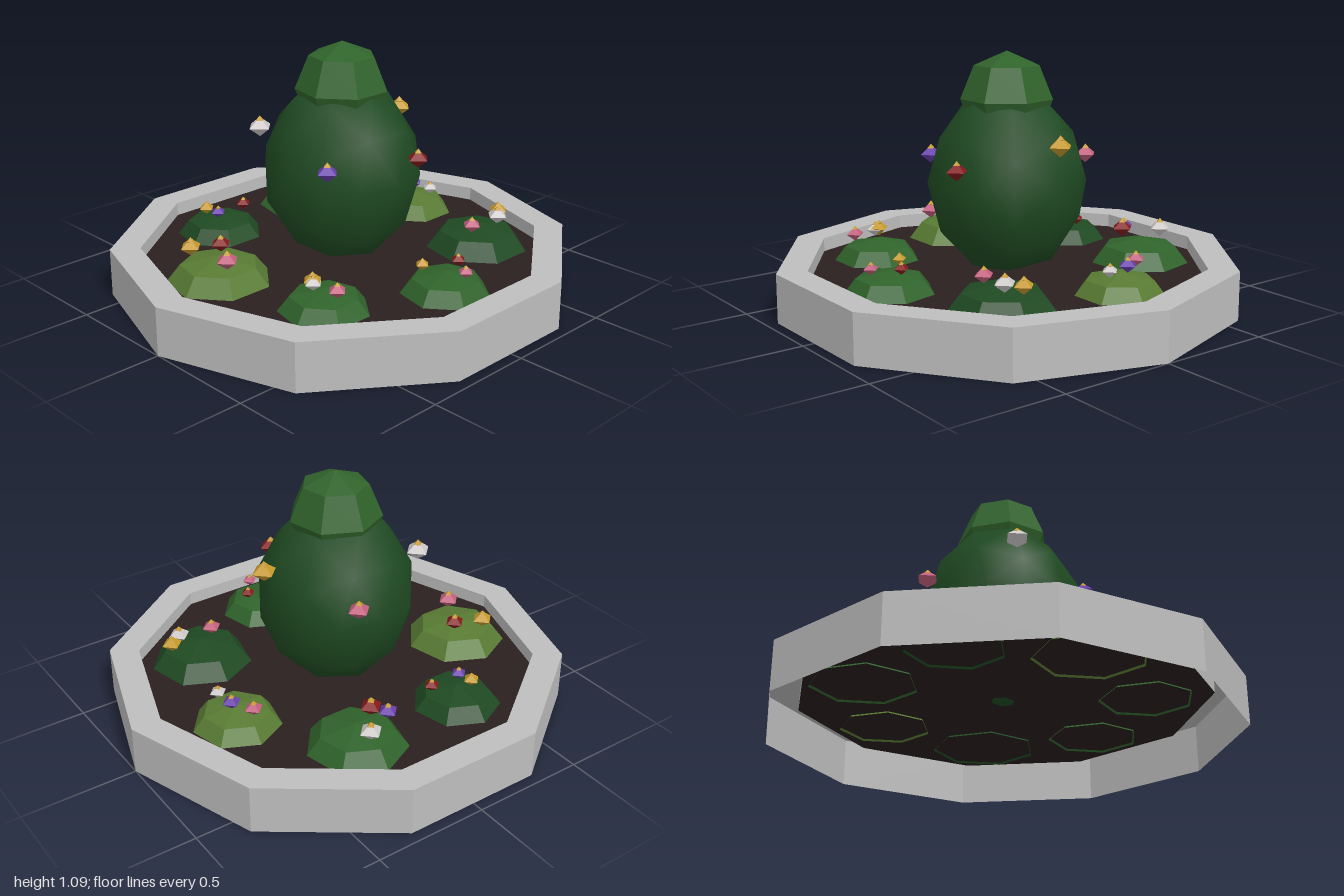
import * as THREE from 'three';

const flat = (color, side = THREE.FrontSide) =>
  new THREE.MeshStandardMaterial({ color, flatShading: true, side });

export function createModel() {
  const group = new THREE.Group();
  const mats = {
    stone: flat(0xbebebe, THREE.DoubleSide),
    soil: flat(0x2b1f1f),
    darkLeaf: new THREE.MeshStandardMaterial({ color: 0x1f4a22, side: THREE.DoubleSide }),
    midLeaf: flat(0x30632b, THREE.DoubleSide),
    lightLeaf: flat(0x587b33, THREE.DoubleSide),
    white: flat(0xcfcaca),
    pink: flat(0xc4607f),
    red: flat(0x861a1c),
    yellow: flat(0xc79a2c),
    purple: flat(0x6a3fae),
  };
  for (const [name, mat] of Object.entries(mats)) mat.name = name;

  const add = (name, geometry, mat, x, y, z, parent = group) => {
    const mesh = new THREE.Mesh(geometry, mats[mat]);
    mesh.name = name;
    mesh.position.set(x, y, z);
    parent.add(mesh);
    return mesh;
  };

  // Ten-sided stone planter, open underneath
  const rim = [[1, 0], [1, 0.21], [0.87, 0.21], [0.87, 0.145]].map(p => new THREE.Vector2(...p));
  add('planterRim', new THREE.LatheGeometry(rim, 10), 'stone', 0, 0, 0);
  add('soilBed', new THREE.CylinderGeometry(0.87, 0.87, 0.006, 10), 'soil', 0, 0.147, 0);

  // Clipped central shrub with a small crown
  const ball = new THREE.IcosahedronGeometry(1, 1);
  ball.scale(0.342, 0.405, 0.342);
  add('shrubBody', ball, 'darkLeaf', 0, 0.53, 0);
  const crown = new THREE.SphereGeometry(1, 7, 4);
  crown.scale(0.2, 0.2, 0.2);
  add('shrubCrown', crown, 'midLeaf', 0.003, 0.89, 0);

  // Low domed bushes around the bed: x, z, radius, leaf
  const bushes = [
    [-0.127, -0.585, 0.2, 'lightLeaf'], [0.376, -0.465, 0.233, 'darkLeaf'],
    [0.6, -0.005, 0.2, 'midLeaf'], [0.376, 0.46, 0.2, 'midLeaf'],
    [-0.13, 0.578, 0.232, 'lightLeaf'], [-0.53, 0.25, 0.2, 'darkLeaf'],
    [-0.53, -0.268, 0.225, 'midLeaf'],
  ];
  for (const [x, z, r, leaf] of bushes) {
    let dome = new THREE.SphereGeometry(1, 7, 2, 0, Math.PI * 2, 0, Math.PI / 2);
    dome.scale(r, 0.53 * r, r);
    dome = dome.toNonIndexed();
    dome.computeVertexNormals();
    add('bush', dome, leaf, x, 0.136, z);
  }

  // Diamond-shaped flowers with a small yellow centre
  const flower = (color, x, y, z, r) => {
    const g = new THREE.Group();
    g.name = 'flower';
    g.position.set(x, y, z);
    add('petals', new THREE.OctahedronGeometry(r), color, 0, 0, 0, g).scale.y = 0.75;
    add('flowerCentre', new THREE.OctahedronGeometry(r * 0.35), 'yellow', 0, r * 0.5, 0, g);
    group.add(g);
  };
  // On the shrub
  flower('pink', -0.335, 0.63, -0.12, 0.052);
  flower('red', 0.34, 0.63, -0.11, 0.052);
  flower('yellow', 0, 0.73, -0.355, 0.057);
  flower('white', -0.21, 0.73, 0.275, 0.057);
  flower('purple', 0.205, 0.63, 0.28, 0.052);
  // On the bushes: colour, x, z, radius
  const small = [
    ['pink', -0.23, -0.565, 0.042], ['purple', -0.14, -0.615, 0.042], ['white', -0.04, -0.62, 0.038],
    ['yellow', 0.38, -0.605, 0.047], ['white', 0.425, -0.545, 0.05], ['pink', 0.41, -0.39, 0.045],
    ['red', 0.595, -0.085, 0.035], ['pink', 0.695, -0.015, 0.035], ['yellow', 0.52, 0.05, 0.033],
    ['yellow', 0.345, 0.495, 0.045], ['white', 0.36, 0.505, 0.042], ['pink', 0.475, 0.485, 0.042],
    ['red', -0.185, 0.525, 0.047], ['yellow', -0.24, 0.64, 0.05], ['pink', -0.02, 0.625, 0.052],
    ['red', -0.505, 0.135, 0.036], ['yellow', -0.57, 0.295, 0.038], ['purple', -0.5, 0.285, 0.036],
    ['white', -0.64, -0.28, 0.052], ['red', -0.505, -0.18, 0.052], ['purple', -0.56, -0.135, 0.045],
  ];
  for (const [color, x, z, r] of small) flower(color, x, 0.221 + 1.2 * r, z, r);

  return group;
}
